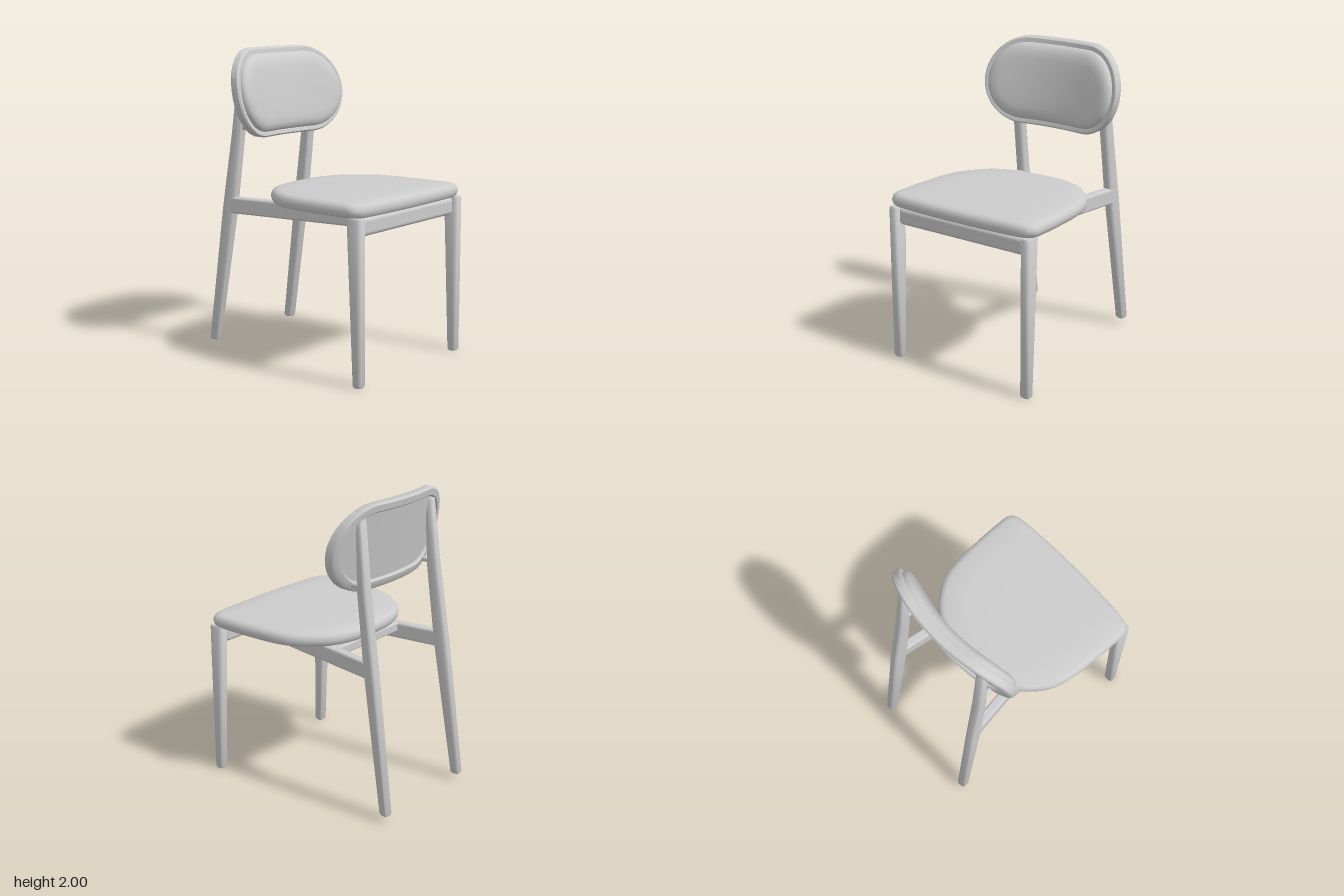
import * as THREE from 'three';
import { toCreasedNormals } from 'three/addons/utils/BufferGeometryUtils.js';
import { RoundedBoxGeometry } from 'three/addons/geometries/RoundedBoxGeometry.js';

const material = new THREE.MeshStandardMaterial({ color: 0xcccccc });
material.name = 'light grey';

function addMesh(parent, name, geometry) {
  const mesh = new THREE.Mesh(geometry, material);
  mesh.name = name;
  parent.add(mesh);
  return mesh;
}

// Skin a list of rings (arrays of Vector3, equal length) into a surface.
function loft(rings, closed = false, crease = 0.7) {
  const n = rings[0].length, m = rings.length;
  const index = [];
  for (let i = 0; i < (closed ? m : m - 1); i++) {
    for (let j = 0; j < n; j++) {
      const k = (j + 1) % n, a = i * n, b = ((i + 1) % m) * n;
      index.push(a + j, a + k, b + j, a + k, b + k, b + j);
    }
  }
  const geometry = new THREE.BufferGeometry().setFromPoints(rings.flat());
  geometry.setIndex(index);
  return toCreasedNormals(geometry, crease);
}

// Tapered post with a rounded square section; stations are [x, y, z, width, depth].
function post(stations, yaw = 0) {
  const first = stations[0], last = stations[stations.length - 1];
  const b = 0.012;
  const at = (s, dy, cut) => [s[0], s[1] + dy, s[2], Math.max(s[3] - cut, 0), Math.max(s[4] - cut, 0)];
  const all = [at(first, 0, 1), at(first, 0, b), at(first, b, 0), ...stations.slice(1, -1),
    at(last, -b, 0), at(last, 0, b), at(last, 0, 1)];
  const soft = (v) => Math.sign(v) * Math.pow(Math.abs(v), 0.55);
  return loft(all.map(([x, y, z, w, d]) => Array.from({ length: 24 }, (_, j) => {
    const t = j / 24 * Math.PI * 2;
    return new THREE.Vector3(soft(Math.sin(t)) * w / 2, 0, soft(Math.cos(t)) * d / 2)
      .applyAxisAngle(new THREE.Vector3(0, 1, 0), yaw).add(new THREE.Vector3(x, y, z));
  })));
}

// Backrest ring: pill outline leaning back and bowed around the sitter.
function pillRing(straight, radius, depth) {
  const points = [];
  const put = (x, y) => points.push(new THREE.Vector3(
    x, 1.71 + y, -0.46 - 0.2 * y + 0.36 * x * x + depth));
  for (let i = 0; i < 24; i++) {
    const t = -Math.PI / 2 + i / 24 * Math.PI;
    put(straight + radius * Math.cos(t), radius * Math.sin(t));
  }
  for (let i = 0; i < 16; i++) put(straight - 2 * straight * i / 16, radius);
  for (let i = 0; i < 24; i++) {
    const t = Math.PI / 2 + i / 24 * Math.PI;
    put(-straight + radius * Math.cos(t), radius * Math.sin(t));
  }
  for (let i = 0; i < 16; i++) put(-straight + 2 * straight * i / 16, -radius);
  return points;
}

function seatGeometry() {
  // Half outline from front centre to back centre, mirrored.
  const half = [[0, 0.697], [0.25, 0.692], [0.45, 0.68], [0.53, 0.663], [0.563, 0.625], [0.57, 0.53],
    [0.565, 0.32], [0.55, 0.14], [0.52, 0.02], [0.45, -0.09], [0.35, -0.185], [0.2, -0.243], [0, -0.26]];
  const outline = [...half, ...half.slice(1, -1).reverse().map(([x, z]) => [-x, z])];
  const curve = new THREE.CatmullRomCurve3(
    outline.map(([x, z]) => new THREE.Vector3(x, 0, z)), true);
  const loop = curve.getSpacedPoints(120).slice(0, 120);
  const cz = 0.22;
  const profile = [[0, 1.035], [0.93, 1.035], [0.965, 1.04], [0.988, 1.053], [1, 1.078],
    [0.99, 1.102], [0.965, 1.118], [0.92, 1.126], [0.7, 1.131], [0.35, 1.133], [0, 1.133]];
  return loft(profile.map(([s, y]) =>
    loop.map((p) => new THREE.Vector3(p.x * s, y, cz + (p.z - cz) * s))));
}

export function createModel() {
  const chair = new THREE.Group();
  chair.name = 'chair';

  addMesh(chair, 'seatCushion', seatGeometry());

  // Rounded wooden hoop around the backrest
  const hoop = [[0.275, 0], [0.287, 0.012], [0.287, 0.058], [0.277, 0.07],
    [0.235, 0.07], [0.225, 0.06], [0.225, 0.012], [0.235, 0]];
  addMesh(chair, 'backrestFrame', loft(hoop.map(([r, d]) => pillRing(0.238, r, d)), true));

  // Domed pad inside the hoop
  const pad = [[0, 0.025], [0.15, 0.025], [0.235, 0.025], [0.246, 0.04], [0.25, 0.075],
    [0.244, 0.092], [0.228, 0.108], [0.2, 0.12], [0.16, 0.125], [0.08, 0.127], [0, 0.127]];
  addMesh(chair, 'backrestPad', loft(pad.map(([r, d]) => pillRing(0.238, r, d))));

  // Front rail
  addMesh(chair, 'frontRail', new RoundedBoxGeometry(0.99, 0.115, 0.07, 4, 0.028))
    .position.set(0, 0.977, 0.62);

  // Cross bars under the seat
  for (const [z, length] of [[-0.2, 0.62], [0.25, 0.48]]) {
    addMesh(chair, 'crossBar', new RoundedBoxGeometry(length, 0.06, 0.05, 2, 0.01))
      .position.set(0, 1.0, z);
  }

  for (const side of [1, -1]) {
    const prefix = side > 0 ? 'left' : 'right';

    addMesh(chair, prefix + 'FrontLeg', post([
      [side * 0.515, 0, 0.654, 0.068, 0.06],
      [side * 0.517, 0.5, 0.643, 0.07, 0.085],
      [side * 0.519, 1.04, 0.63, 0.07, 0.11]]));

    addMesh(chair, prefix + 'RearLeg', post([
      [side * 0.382, 0.04, -0.667, 0.065, 0.065],
      [side * 0.364, 0.95, -0.533, 0.07, 0.097],
      [side * 0.353, 1.45, -0.463, 0.07, 0.08],
      [side * 0.343, 1.91, -0.425, 0.06, 0.05]], side * -0.16));

    // Side rail, converging towards the front
    const from = new THREE.Vector3(side * 0.365, 0.975, -0.52);
    const to = new THREE.Vector3(side * 0.2, 0.975, 0.6);
    const rail = addMesh(chair, prefix + 'SideRail',
      new RoundedBoxGeometry(0.065, 0.11, from.distanceTo(to), 3, 0.016));
    rail.position.copy(from).lerp(to, 0.5);
    rail.rotation.y = Math.atan2(to.x - from.x, to.z - from.z);

    // Peg joining the hoop to the leg
    const peg = addMesh(chair, prefix + 'BackrestPeg', new THREE.CylinderGeometry(0.017, 0.017, 0.13, 16));
    peg.position.set(side * 0.35, 1.49, -0.39);
    peg.rotation.x = Math.PI / 2;
  }
  return chair;
}
